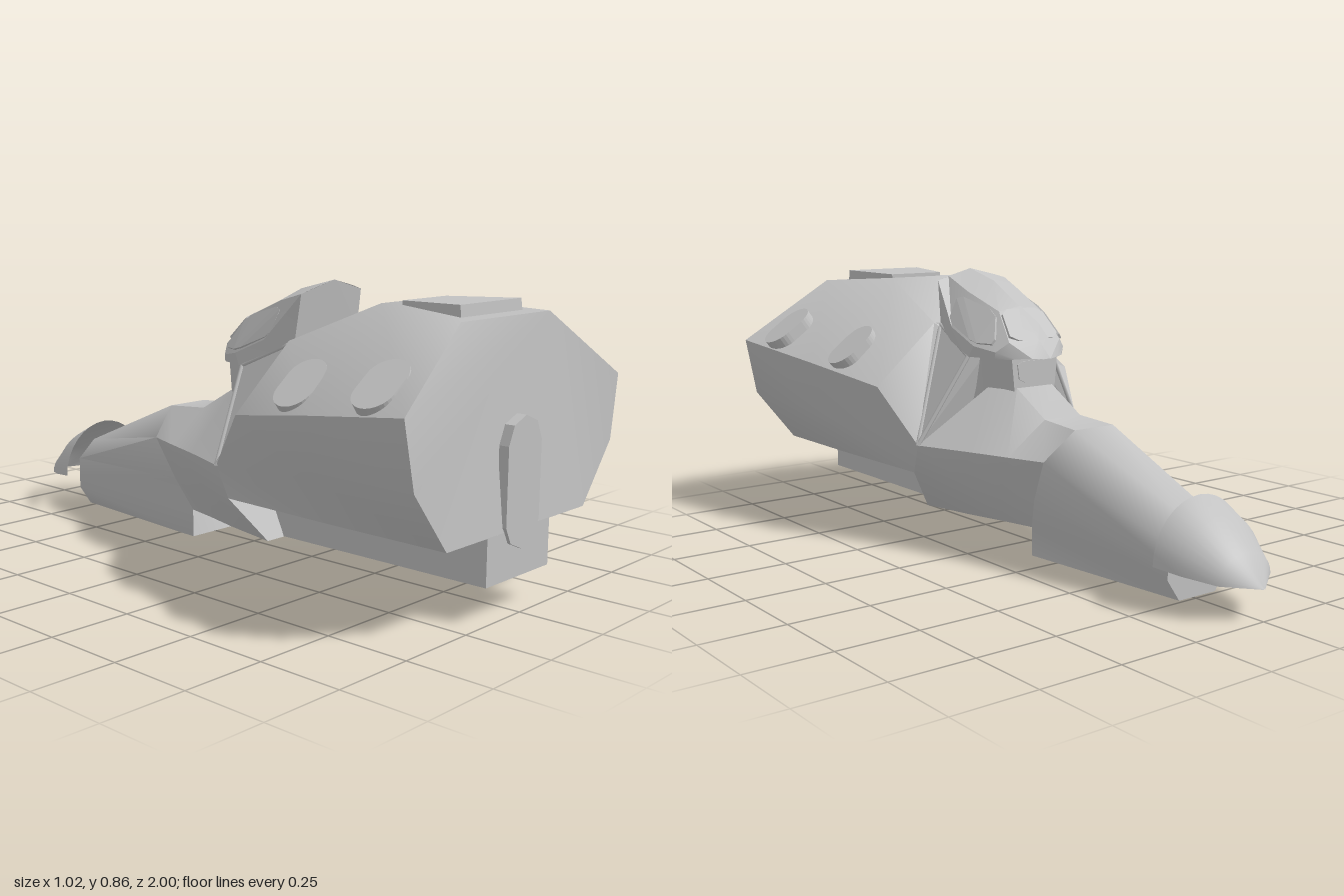
import * as THREE from 'three';
import { toCreasedNormals } from 'three/addons/utils/BufferGeometryUtils.js';
import { ConvexGeometry } from 'three/addons/geometries/ConvexGeometry.js';

const grey = new THREE.MeshStandardMaterial({ color: 0xc2c2c2, side: THREE.DoubleSide });
grey.name = 'hull grey';
const V = (p) => new THREE.Vector3(...p);

// Mirrors a half section (top to bottom on +x) into a full ring
const mirrorRing = (half) => [
  ...half,
  ...half.filter((p) => p[0] > 0).reverse().map(([x, y, z]) => [-x, y, z]),
];

// Skins half sections running from the rear (+z) to the front (-z)
function loft(halves, { rearCap = true, frontCap = true, closed = true, crease = 0.35 } = {}) {
  const rings = halves.map(mirrorRing);
  const n = rings[0].length;
  const index = [];
  for (let i = 0; i < rings.length - 1; i++) {
    for (let j = 0; j < n; j++) {
      const k = (j + 1) % n;
      // an open skin leaves out the strip across the bottom
      if (!closed && Math.abs(rings[0][j][0] + rings[0][k][0]) < 1e-6) continue;
      const a = i * n + j, b = i * n + k;
      index.push(a, b, b + n, a, b + n, a + n);
    }
    // close the seam between the two ends of the ring is part of the loop above
  }
  const last = (rings.length - 1) * n;
  for (let j = 1; j < n - 1; j++) {
    if (rearCap) index.push(0, j + 1, j);
    if (frontCap) index.push(last, last + j, last + j + 1);
  }
  const geo = new THREE.BufferGeometry();
  geo.setAttribute('position', new THREE.Float32BufferAttribute(rings.flat(2), 3));
  geo.setIndex(index);
  return toCreasedNormals(geo, crease);
}

// Thin plate with clipped corners, standing proud of a face
function plate(corners, inset, lift) {
  const pts = corners.map(V);
  const mid = pts.reduce((s, p) => s.add(p), new THREE.Vector3()).divideScalar(pts.length);
  const normal = pts[1].clone().sub(pts[0]).cross(pts[2].clone().sub(pts[0])).normalize();
  const rim = pts.map((p) => p.lerp(mid, inset));
  const cut = rim.flatMap((p, i) => [
    p.clone().lerp(rim[(i + rim.length - 1) % rim.length], 0.15),
    p.clone().lerp(rim[(i + 1) % rim.length], 0.15),
  ]);
  return new ConvexGeometry([-lift, lift].flatMap((h) => cut.map((p) => p.clone().addScaledVector(normal, h))));
}

// Flat capsule lying in the xz plane, long along x
function capsule(halfLength, radius, depth) {
  const s = new THREE.Shape();
  const c = halfLength - radius;
  s.absarc(c, 0, radius, -Math.PI / 2, Math.PI / 2, false);
  s.absarc(-c, 0, radius, Math.PI / 2, Math.PI * 1.5, false);
  return new THREE.ExtrudeGeometry(s, { depth, bevelEnabled: false, curveSegments: 8 }).rotateX(-Math.PI / 2);
}

export function createModel() {
  const model = new THREE.Group();
  const add = (name, geo, x = 0, y = 0, z = 0) => {
    const mesh = new THREE.Mesh(geo, grey);
    mesh.name = name;
    mesh.position.set(x, y, z);
    model.add(mesh);
    return mesh;
  };
  const box = (name, w, h, d, x, y, z) => add(name, new THREE.BoxGeometry(w, h, d), x, y, z);

  // Rear hull, with the keel below it
  add('rearHull', loft([
    [[0.21, 0.8, 0.93], [0.508, 0.6, 0.985], [0.47, 0.41, 0.99], [0.33, 0.235, 0.99]],
    [[0.13, 0.822, 0.61], [0.445, 0.552, 0.62], [0.402, 0.372, 0.6], [0.328, 0.235, 0.6]],
    [[0.165, 0.695, 0.3], [0.385, 0.505, 0.3], [0.325, 0.33, 0.16], [0.315, 0.235, 0.2]],
  ], { crease: 0.85 }));
  box('keel', 0.3, 0.135, 0.87, 0, 0.1685, 0.555);

  // Middle hull below the cockpit
  add('middleHull', loft([
    [[0.11, 0.505, 0.08], [0.325, 0.33, 0.16], [0.315, 0.235, 0.2], [0.22, 0.1, 0.27]],
    [[0.07, 0.51, -0.02], [0.258, 0.33, -0.02], [0.245, 0.225, 0.03], [0.18, 0.1, 0.08]],
    [[0.07, 0.43, -0.16], [0.212, 0.33, -0.16], [0.195, 0.21, -0.1], [0.145, 0.1, -0.05]],
    [[0.075, 0.42, -0.31], [0.17, 0.33, -0.28], [0.15, 0.2, -0.21], [0.12, 0.1, -0.16]],
  ], { frontCap: false, crease: 0.6 }));

  // Tapered nose with an eight-sided front end
  add('nose', loft([
    [[0.075, 0.42, -0.31], [0.17, 0.33, -0.28], [0.15, 0.2, -0.21], [0.12, 0.1, -0.16], [0.12, 0.01, -0.16]],
    [[0.048, 0.24, -0.755], [0.115, 0.18, -0.755], [0.115, 0.12, -0.755], [0.115, 0.075, -0.755], [0.07, 0.01, -0.755]],
  ], { crease: 0.95 }));
  box('noseSkid', 0.1, 0.01, 0.14, 0, 0.007, -0.52);

  // Hollow nose shield: half-ellipse arches shrinking to the tip
  const arches = [
    [-0.755, 0.172, 0.3, 0.125], [-0.84, 0.15, 0.255, 0.115],
    [-0.93, 0.1, 0.175, 0.1], [-1, 0.002, 0.092, 0.09],
  ].map(([z, w, top, low]) => Array.from({ length: 9 }, (_, i) => {
    const a = (i / 8) * Math.PI / 2;
    return [i ? w * Math.sin(a) : 0, low + (top - low) * Math.cos(a), z];
  }));
  add('noseShield', loft(arches, { rearCap: false, frontCap: false, closed: false, crease: 0.9 }));

  // Raised canopy, open underneath
  add('canopy', loft([
    [[0, 0.865, 0.33], [0.09, 0.843, 0.325], [0.135, 0.83, 0.32], [0.14, 0.69, 0.3]],
    [[0, 0.832, 0.2], [0.1, 0.8, 0.2], [0.165, 0.69, 0.2], [0.168, 0.645, 0.2]],
    [[0, 0.758, 0.06], [0.08, 0.745, 0.06], [0.165, 0.64, 0.08], [0.17, 0.605, 0.1]],
    [[0, 0.66, -0.04], [0.1, 0.655, -0.02], [0.135, 0.625, 0.005], [0.135, 0.604, 0.01]],
    [[0, 0.606, -0.1], [0.05, 0.606, -0.072], [0.09, 0.605, -0.04], [0.1, 0.602, -0.03]],
  ], { frontCap: false, closed: false }));
  add('frontPane', plate(
    [[-0.08, 0.75, 0.06], [0.08, 0.75, 0.06], [0.1, 0.656, -0.025], [-0.1, 0.656, -0.025]], 0.04, 0.005));

  // Cockpit block under the canopy, with a small front pane
  add('cockpitBlock', loft([
    [[0.1, 0.66, 0.28], [0.11, 0.45, 0.28]],
    [[0.12, 0.605, 0.1], [0.115, 0.45, 0.1]],
    [[0.09, 0.604, -0.02], [0.075, 0.45, -0.02]],
  ]));
  add('lowerFrontPane', plate(
    [[-0.075, 0.595, -0.02], [0.075, 0.595, -0.02], [0.065, 0.525, -0.02], [-0.065, 0.525, -0.02]], 0.05, 0.004));

  for (const s of [1, -1]) {
    const flip = (pts) => pts.map(([x, y, z]) => [s * x, y, z]);
    const side = s > 0 ? 'left' : 'right';

    add(side + 'SidePane', plate(flip([
      [0.115, 0.793, 0.235], [0.086, 0.745, 0.06], [0.132, 0.645, 0.005],
      [0.164, 0.645, 0.08], [0.16, 0.705, 0.23],
    ]), 0.05, 0.005));

    // Triangular quarter light between hull and canopy
    const tri = flip([[0.14, 0.69, 0.3], [0.325, 0.33, 0.16], [0.165, 0.605, 0.11]]);
    const back = flip([[0.1, 0.69, 0.3], [0.1, 0.45, 0.16], [0.1, 0.605, 0.11]]);
    add(side + 'QuarterLight', new ConvexGeometry([...tri, ...back].map(V)));
    tri.forEach((p, i) => {
      const bar = new THREE.LineCurve3(V(p), V(tri[(i + 1) % 3]));
      add(side + 'QuarterFrame', new THREE.TubeGeometry(bar, 1, 0.007, 6));
    });

    // Oval pods on the upper slopes
    for (const [x, y, z, tilt] of [[0.398, 0.627, 0.842, 0.62], [0.333, 0.588, 0.517, 0.66]]) {
      add(side + 'Pod', capsule(0.092, 0.062, 0.038), s * x, y, z).rotation.z = -s * tilt;
    }
  }

  // Roof hatch
  add('roofHatch', new ConvexGeometry([
    [0.1, 0.8, 0.66], [0.145, 0.79, 0.885], [0.1, 0.831, 0.66], [0.143, 0.836, 0.88],
  ].flatMap(([x, y, z]) => [V([x, y, z]), V([-x, y, z])])));

  // Rear door
  const door = new THREE.Shape([
    [0, 0.545], [-0.055, 0.523], [-0.079, 0.47], [-0.079, 0.25], [-0.055, 0.203],
    [0, 0.18], [0.055, 0.203], [0.079, 0.25], [0.079, 0.47], [0.055, 0.523],
  ].map((p) => new THREE.Vector2(...p)));
  add('rearDoor', new THREE.ExtrudeGeometry(door, { depth: 0.03, bevelEnabled: false }), 0, 0, 0.97);

  return model;
}
